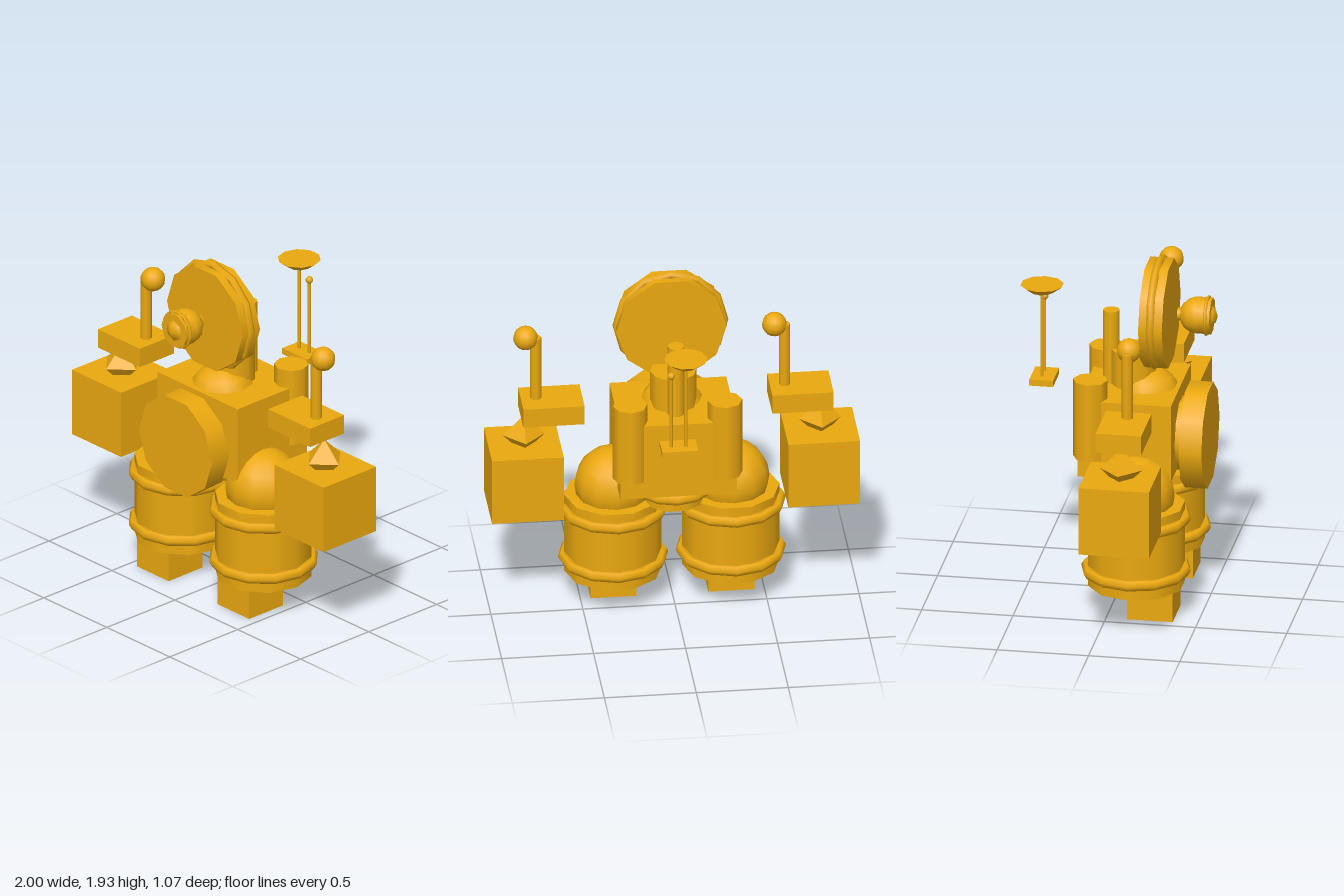
import * as THREE from 'three';

const material = new THREE.MeshStandardMaterial({ color: 0xeaa80f });

export function createModel() {
  const root = new THREE.Group();
  root.name = 'robot';

  const add = (name, geometry, x, y, z) => {
    const mesh = new THREE.Mesh(geometry, material);
    mesh.name = name;
    mesh.position.set(x, y, z);
    root.add(mesh);
    return mesh;
  };
  const box = (name, w, h, d, x, y, z) => add(name, new THREE.BoxGeometry(w, h, d), x, y, z);
  // Upright cylinder from y0 to y1, with a corner on the x axis
  const drum = (name, rTop, rBottom, y0, y1, x, z, sides = 10) =>
    add(name, new THREE.CylinderGeometry(rTop, rBottom, y1 - y0, sides).rotateY(Math.PI / 2), x, (y0 + y1) / 2, z);
  // Cylinder facing forward from z0 to z1
  const disc = (name, r, z0, z1, y, sides = 10, rBack = r) =>
    add(name, new THREE.CylinderGeometry(r, rBack, z1 - z0, sides).rotateY(Math.PI / 2).rotateX(Math.PI / 2), 0, y, (z0 + z1) / 2);
  const ball = (name, r, x, y, z, w = 12, h = 10) => add(name, new THREE.SphereGeometry(r, w, h), x, y, z);
  const ring = (name, outer, tube, x, y, z, flat = true) => {
    const g = new THREE.TorusGeometry(outer - tube, tube, 6, 12);
    if (flat) g.rotateX(Math.PI / 2);
    return add(name, g, x, y, z);
  };

  for (const s of [-1, 1]) {
    // Legs
    box('foot', 0.25, 0.17, 0.25, s * 0.32, 0.085, 0.24);
    drum('leg', 0.265, 0.265, 0.165, 0.63, s * 0.32, 0.145);
    for (const y of [0.253, 0.553]) ring('legRing', 0.3, 0.031, s * 0.32, y, 0.143);
    ball('hipDome', 0.21, s * 0.32, 0.69, 0.145);

    // Arm blocks with a pointed joint on top
    box('armBlock', 0.39, 0.385, 0.385, s * 0.805, 0.778, 0.138);
    add('armJoint', new THREE.OctahedronGeometry(0.115), s * 0.805, 1.018, 0.145);

    // Back tanks
    drum('backTank', 0.094, 0.094, 0.86, 1.305, s * 0.258, -0.118, 8);
  }

  // Levers above the arms, both leaning towards +x
  for (const [plateX, rodX] of [[-0.698, -0.612], [0.655, 0.74]]) {
    box('leverPlate', 0.333, 0.11, 0.25, plateX, 1.185, 0.14);
    drum('leverRod', 0.031, 0.031, 1.23, 1.61, rodX, 0.145, 8);
    ball('leverKnob', 0.067, rodX + 0.055, 1.61, 0.145);
  }

  // Waist and torso
  drum('waist', 0.17, 0.17, 0.62, 0.78, 0, 0.07);
  ring('waistRing', 0.225, 0.03, 0, 0.703, 0.08);
  box('torso', 0.635, 0.44, 0.51, 0, 0.98, 0.078);

  // Chest disc on its mount
  disc('chestMount', 0.2, 0.3, 0.38, 0.925);
  disc('chestDisc', 0.29, 0.37, 0.495, 0.92);

  // Neck and exhaust pipe
  ball('neckDome', 0.19, 0, 1.112, 0.15, 10, 8);
  drum('neck', 0.127, 0.127, 1.15, 1.4, 0, 0.08);
  drum('exhaustPipe', 0.045, 0.045, 1.18, 1.615, 0, -0.047);

  // Head plate with rim
  disc('headDisc', 0.3, 0.15, 0.28, 1.615);
  ring('headRim', 0.315, 0.024, 0, 1.62, 0.213, false);

  // Eye
  disc('eyeStem', 0.035, 0.317, 0.36, 1.615);
  ball('eyeBall', 0.1, 0, 1.615, 0.425);
  disc('eyeBarrel', 0.1, 0.43, 0.505, 1.615);
  ring('eyeRing', 0.112, 0.01, 0, 1.615, 0.48, false);
  ball('eyeLens', 0.07, 0, 1.615, 0.465, 8, 6);

  // Antenna platform floating behind
  box('antennaBase', 0.195, 0.035, 0.13, 0.027, 1.187, -0.42);
  drum('dishPost', 0.009, 0.009, 1.2, 1.72, -0.01, -0.425, 6);
  drum('antennaDish', 0.118, 0.065, 1.7, 1.74, -0.01, -0.425);
  drum('ballPost', 0.009, 0.009, 1.2, 1.64, 0.07, -0.425, 6);
  ball('antennaTip', 0.021, 0.07, 1.64, -0.425, 8, 6);

  return root;
}
